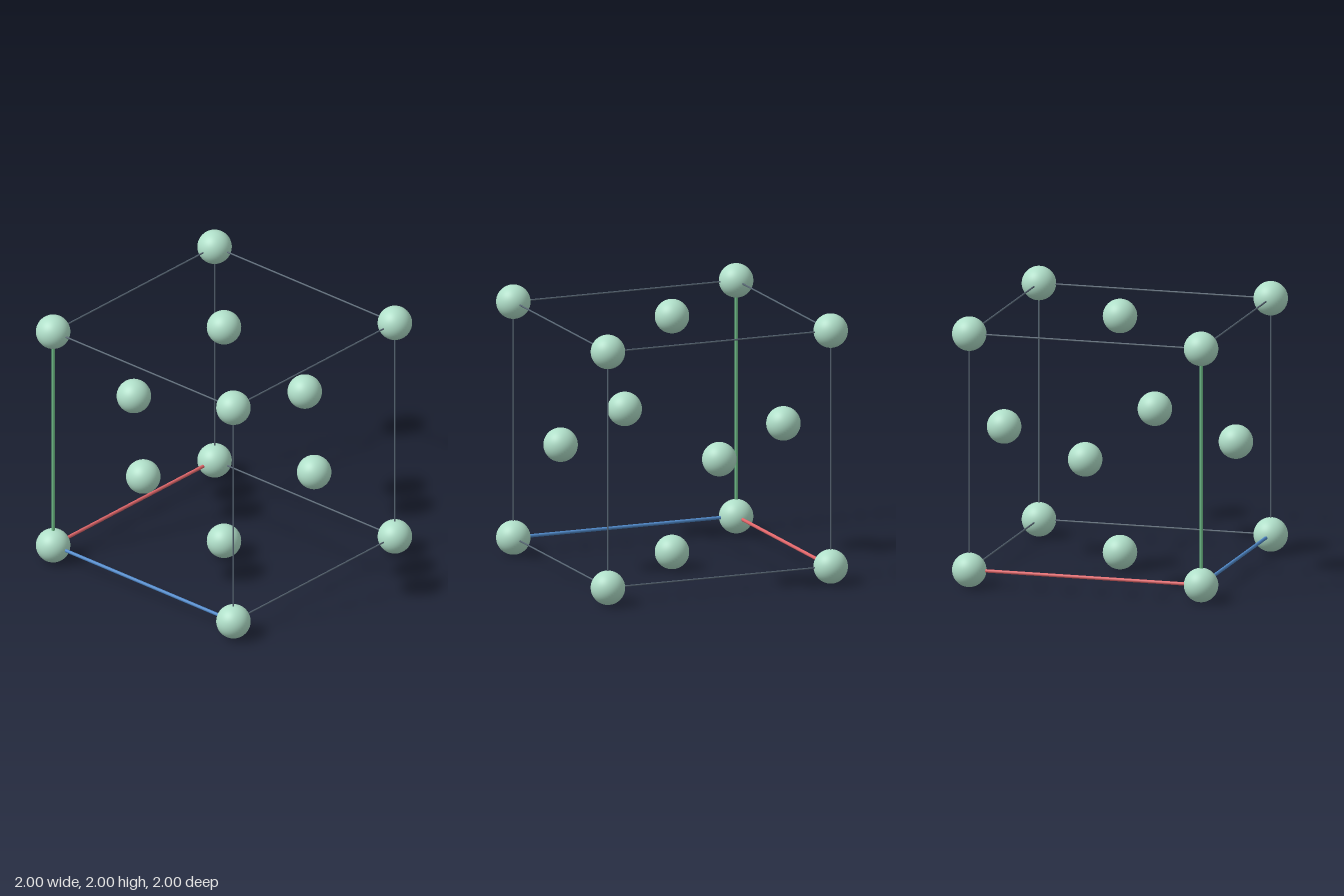
import * as THREE from 'three';

export function createModel() {
  const group = new THREE.Group();
  const mat = (name, color) => {
    const m = new THREE.MeshStandardMaterial({ color });
    m.name = name;
    return m;
  };
  const atomMat = mat('paleGreen', 0xb0dfc9);
  const edgeMat = mat('slate', 0x566472);
  const axisMats = [mat('red', 0xe0666a), mat('green', 0x6fbd88), mat('blue', 0x4f88c8)];

  const h = 0.875; // half the cell size
  const cell = new THREE.Group();
  cell.name = 'cubicCell';
  cell.position.y = 1;
  group.add(cell);

  // Atoms on the eight corners and six face centres
  const atomGeo = new THREE.SphereGeometry(0.125, 40, 28);
  const addAtom = (name, p) => {
    const atom = new THREE.Mesh(atomGeo, atomMat);
    atom.name = name;
    atom.position.set(...p);
    cell.add(atom);
  };
  for (const x of [-h, h])
    for (const y of [-h, h])
      for (const z of [-h, h]) addAtom('cornerAtom', [x, y, z]);
  for (let axis = 0; axis < 3; axis++)
    for (const s of [-h, h]) {
      const p = [0, 0, 0];
      p[axis] = s;
      addAtom('faceAtom', p);
    }

  // Twelve edges; the three meeting at the origin corner are thick coloured axes
  const edgeGeo = new THREE.CylinderGeometry(0.006, 0.006, 2 * h, 10);
  const axisGeo = new THREE.CylinderGeometry(0.0125, 0.0125, 2 * h, 16);
  const axisNames = ['xAxis', 'yAxis', 'zAxis'];
  for (let axis = 0; axis < 3; axis++)
    for (const a of [-h, h])
      for (const b of [-h, h]) {
        const isAxis = a < 0 && b < 0;
        const rod = new THREE.Mesh(isAxis ? axisGeo : edgeGeo, isAxis ? axisMats[axis] : edgeMat);
        rod.name = isAxis ? axisNames[axis] : 'cellEdge';
        const p = [0, 0, 0];
        p[(axis + 1) % 3] = a;
        p[(axis + 2) % 3] = b;
        rod.position.set(...p);
        if (axis === 0) rod.rotation.z = -Math.PI / 2;
        if (axis === 2) rod.rotation.x = Math.PI / 2;
        cell.add(rod);
      }

  return group;
}
